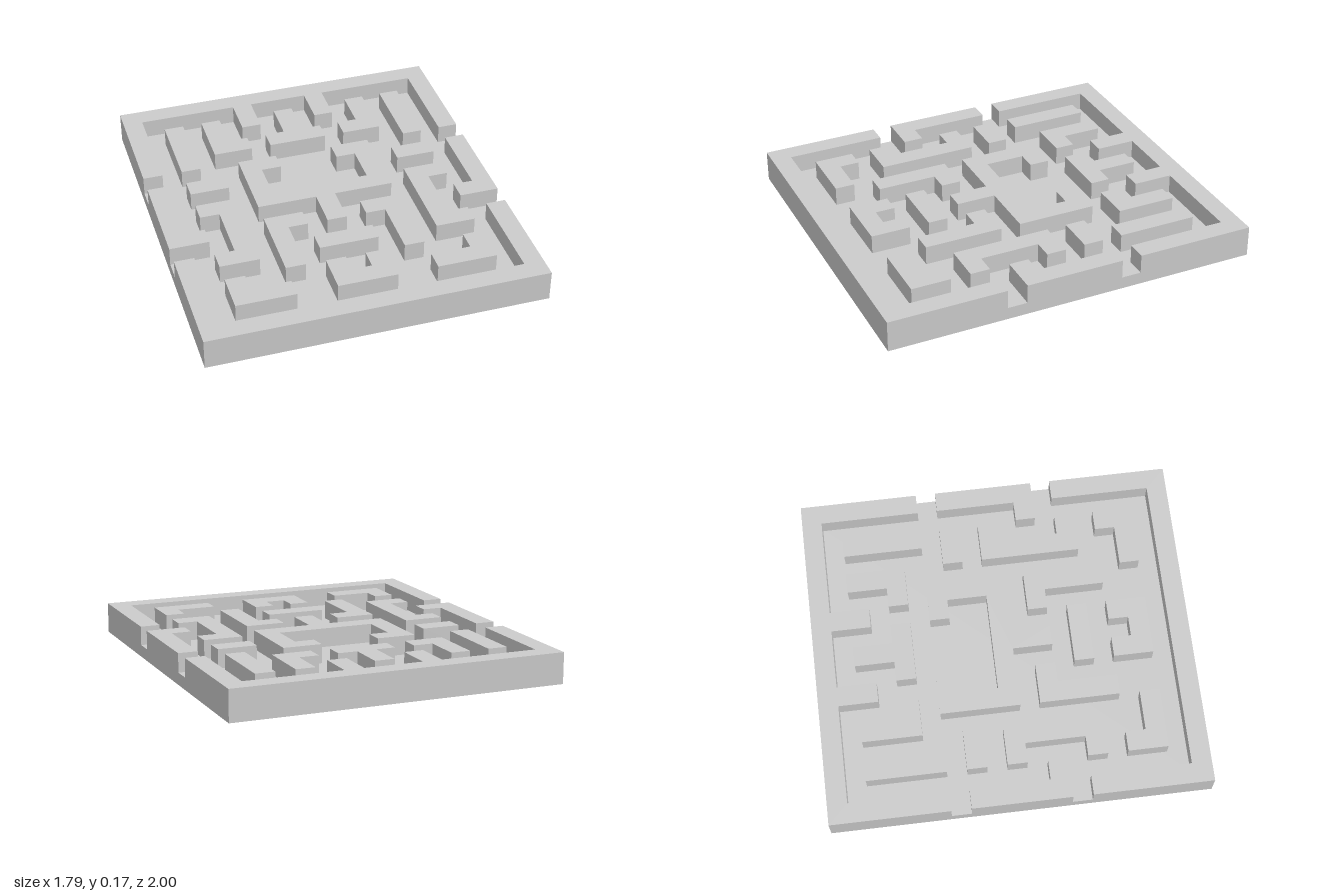
import * as THREE from 'three';

// Maze board laid out on a 17 x 19 cell grid
const COLS = 17, ROWS = 19, CELL = 2 / ROWS;
const FLOOR = 0.065, HEIGHT = 0.166;

const material = new THREE.MeshStandardMaterial({ color: 0xcccccc, flatShading: true });

// Outlines are [column, row] grid corners; row 0 is the back edge
const centred = {
  backWall: [[0, 0], [17, 0], [17, 6], [16, 6], [16, 1], [11, 1], [11, 3], [10, 3], [10, 1],
    [7, 1], [7, 3], [6, 3], [6, 1], [1, 1], [1, 6], [0, 6]],
  frontWall: [[0, 13], [1, 13], [1, 18], [16, 18], [16, 13], [17, 13], [17, 19], [0, 19]],
  backTee: [[8, 2], [9, 2], [9, 4], [10, 4], [10, 5], [7, 5], [7, 4], [8, 4]],
  centreEnclosure: [[5, 6], [7, 6], [7, 7], [6, 7], [6, 9], [11, 9], [11, 7], [10, 7], [10, 6],
    [12, 6], [12, 10], [9, 10], [9, 12], [8, 12], [8, 10], [5, 10]],
  centreBar: [[7, 13], [10, 13], [10, 14], [7, 14]],
  frontCup: [[7, 15], [8, 15], [8, 16], [9, 16], [9, 15], [10, 15], [10, 17], [7, 17]],
};

// Drawn on the right (-x) half and mirrored to the left
const mirrored = {
  SideWall: [[0, 7], [1, 7], [1, 11], [2, 11], [2, 12], [0, 12]],
  LongBar: [[2, 2], [3, 2], [3, 6], [2, 6]],
  BackHook: [[4, 2], [5, 2], [5, 4], [6, 4], [6, 5], [4, 5]],
  ShortBar: [[2, 7], [4, 7], [4, 8], [2, 8]],
  Bracket: [[2, 9], [4, 9], [4, 14], [2, 14], [2, 13], [3, 13], [3, 10], [2, 10]],
  InnerHook: [[5, 11], [7, 11], [7, 12], [6, 12], [6, 15], [5, 15]],
  FrontCorner: [[2, 15], [3, 15], [3, 16], [5, 16], [5, 17], [2, 17]],
};

// Raises one outline into a wall standing on the floor
function wall(name, outline) {
  const points = outline.map(([c, r]) =>
    new THREE.Vector2((c - COLS / 2) * CELL, (ROWS / 2 - r) * CELL));
  const geometry = new THREE.ExtrudeGeometry(new THREE.Shape(points),
    { depth: HEIGHT - FLOOR, bevelEnabled: false });
  geometry.rotateX(-Math.PI / 2).translate(0, FLOOR, 0);
  const mesh = new THREE.Mesh(geometry, material);
  mesh.name = name;
  return mesh;
}

export function createModel() {
  const group = new THREE.Group();
  group.name = 'mazeBoard';

  // Floor slab
  const floor = new THREE.Mesh(new THREE.BoxGeometry(COLS * CELL, FLOOR, ROWS * CELL), material);
  floor.position.y = FLOOR / 2;
  floor.name = 'floor';
  group.add(floor);

  // Walls
  for (const [name, outline] of Object.entries(centred)) group.add(wall(name, outline));
  for (const [name, outline] of Object.entries(mirrored)) {
    group.add(wall('right' + name, outline));
    group.add(wall('left' + name, outline.map(([c, r]) => [COLS - c, r])));
  }
  return group;
}
